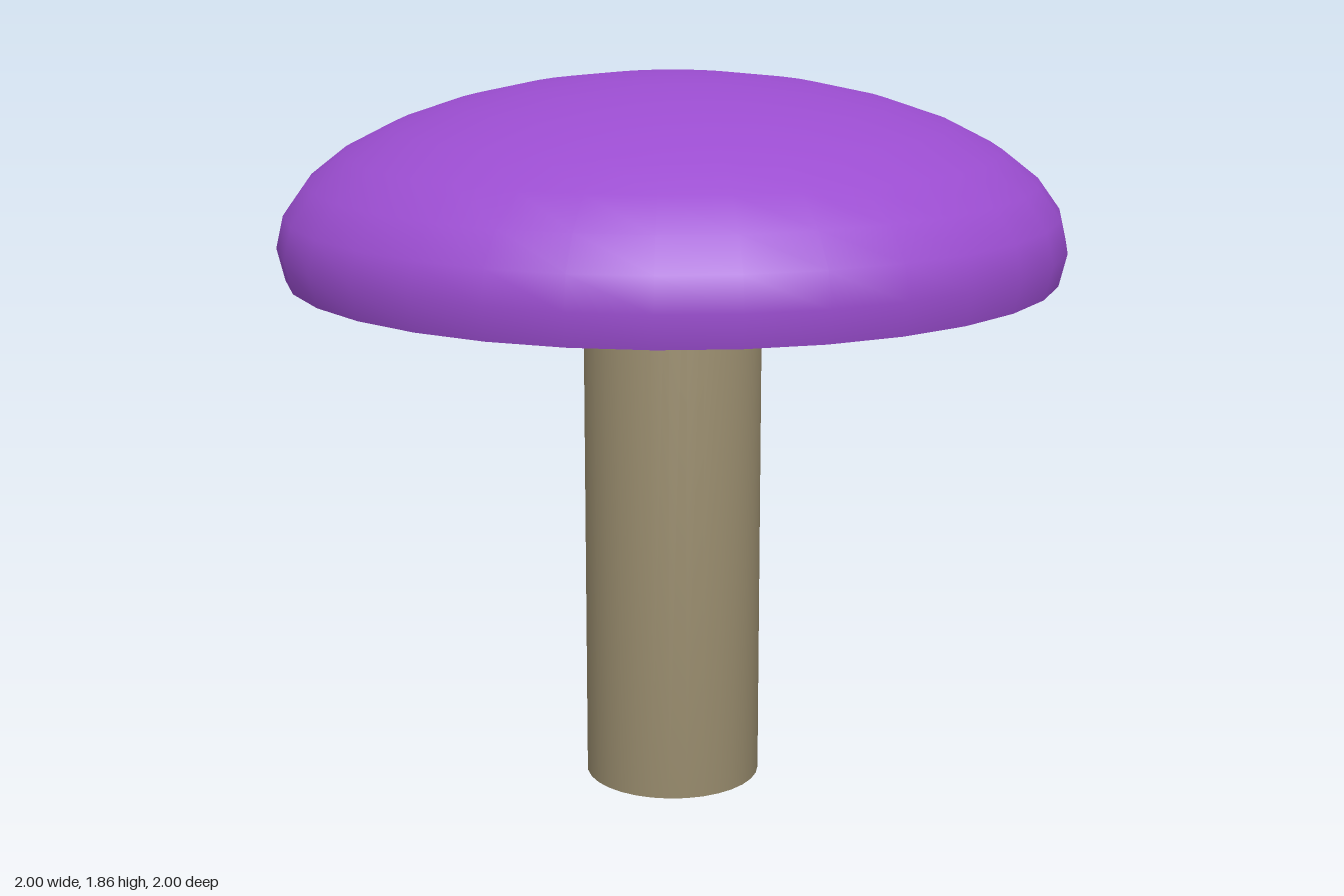
import * as THREE from 'three';
import { mergeVertices } from 'three/addons/utils/BufferGeometryUtils.js';

// Weld the seams so the shading runs smoothly over the edges
function weld(geometry) {
  geometry.deleteAttribute('normal');
  geometry.deleteAttribute('uv');
  const welded = mergeVertices(geometry, 1e-4);
  welded.computeVertexNormals();
  return welded;
}

function addPart(group, name, geometry, color, side = THREE.FrontSide) {
  const mesh = new THREE.Mesh(geometry, new THREE.MeshStandardMaterial({ color, side }));
  mesh.name = name;
  group.add(mesh);
}

export function createModel() {
  const group = new THREE.Group();
  group.name = 'mushroom';

  // Stem: closed cylinder reaching up inside the hollow cap
  const stemHeight = 1.8;
  const stem = new THREE.CylinderGeometry(0.23, 0.23, stemHeight, 32);
  stem.translate(0, stemHeight / 2, 0);
  addPart(group, 'stem', weld(stem), 0x9c8f70);

  // Cap: flattened open dome that curls in slightly below its widest ring
  const rings = 9;
  const cap = new THREE.SphereGeometry(1, 32, rings, 0, Math.PI * 2, 0, (rings * Math.PI) / 16);
  cap.scale(1, 0.418, 1);
  cap.translate(0, 1.442, 0);
  addPart(group, 'cap', weld(cap), 0x9b4dd0, THREE.DoubleSide);

  return group;
}
